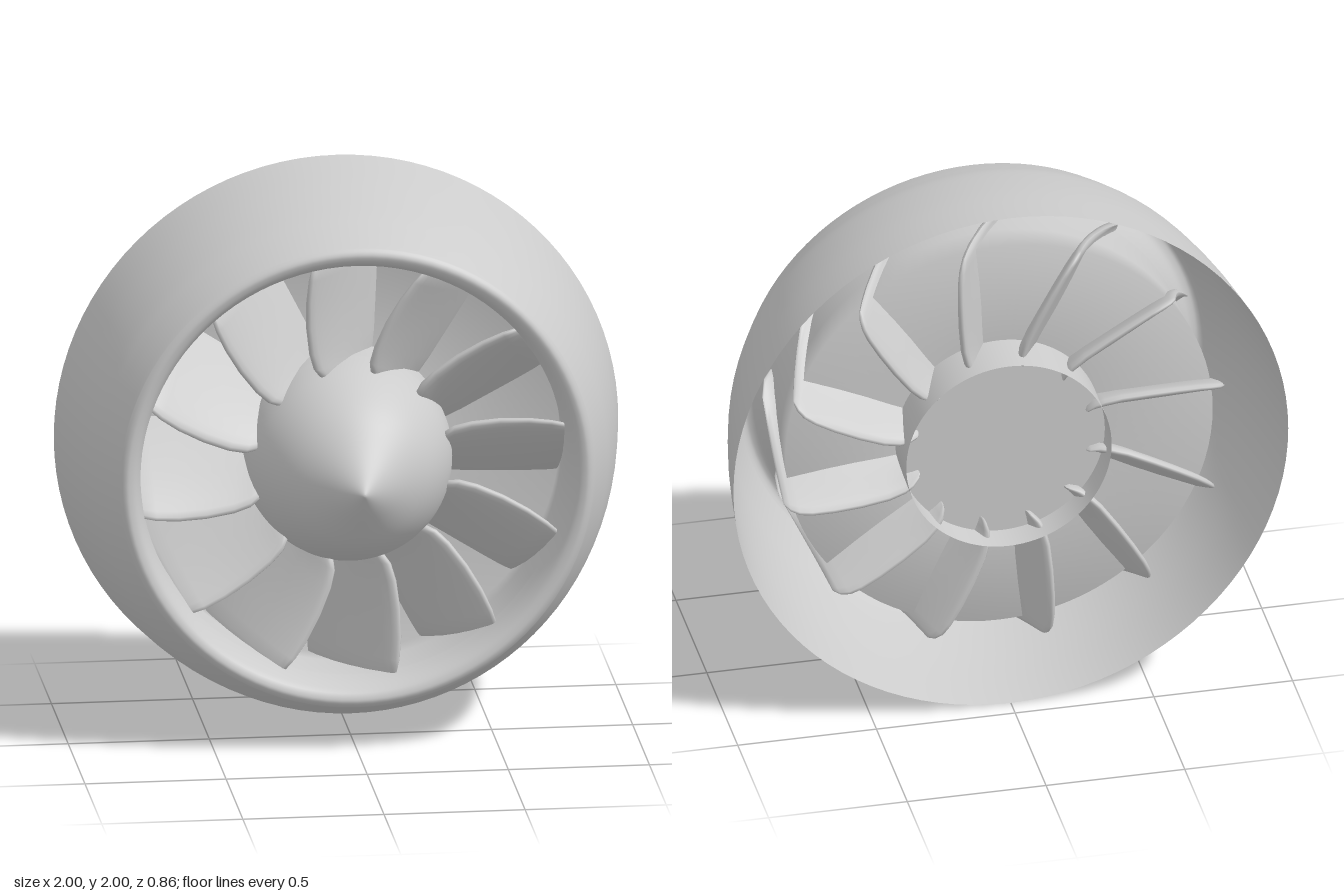
import * as THREE from 'three';

const BLADES = 12;
const CAMBER = 0.022;
const metal = new THREE.MeshStandardMaterial({ color: 0xcccccc });
const shell = new THREE.MeshStandardMaterial({ color: 0xcccccc, side: THREE.DoubleSide });

// Surface of revolution about the z axis from [radius, z] pairs
function revolve(name, points, segments = 96) {
  const geometry = new THREE.LatheGeometry(points.map(([r, z]) => new THREE.Vector2(r, z)), segments);
  geometry.rotateX(Math.PI / 2);
  const mesh = new THREE.Mesh(geometry, shell);
  mesh.name = name;
  return mesh;
}

// Smooth curve through [radius, z] pairs
function smooth(points, n) {
  const curve = new THREE.SplineCurve(points.map(([r, z]) => new THREE.Vector2(r, z)));
  return curve.getPoints(n).map(p => [p.x, p.y]);
}

// Pitched, cambered blade along +y, lofted through rounded flat sections
function bladeGeometry() {
  // radius, leading x and z, trailing x and z, half thickness
  const rows = [
    [0.30, -0.06, 0.00, 0.09, -0.31, 0],
    [0.305, -0.07, 0.02, 0.10, -0.32, 0.014],
    [0.33, -0.11, 0.055, 0.125, -0.335, 0.022],
    [0.36, -0.132, 0.068, 0.14, -0.345, 0.024],
    [0.42, -0.15, 0.08, 0.155, -0.355, 0.024],
    [0.52, -0.163, 0.095, 0.165, -0.365, 0.024],
    [0.62, -0.165, 0.11, 0.17, -0.37, 0.023],
    [0.70, -0.158, 0.12, 0.17, -0.37, 0.021],
    [0.745, -0.148, 0.12, 0.165, -0.365, 0.019],
    [0.775, -0.13, 0.09, 0.155, -0.35, 0.016],
    [0.79, -0.11, 0.04, 0.145, -0.33, 0.010],
    [0.795, -0.10, 0.02, 0.14, -0.32, 0],
  ];
  const N = 24, position = [], index = [];
  rows.forEach(([r, lx, lz, tx, tz, h], i) => {
    const dx = lx - tx, dz = lz - tz, len = Math.hypot(dx, dz);
    for (let j = 0; j < N; j++) {
      const a = (j / N) * Math.PI * 2;
      const c = Math.cos(a), s = Math.sin(a);
      const along = Math.sign(c) * Math.pow(Math.abs(c), 0.7) / 2;
      const off = Math.sign(s) * Math.pow(Math.abs(s), 0.6) * h + CAMBER * (1 - 4 * along * along);
      position.push(
        (lx + tx) / 2 + dx * along + (dz / len) * off,
        r,
        (lz + tz) / 2 + dz * along - (dx / len) * off);
      if (i < rows.length - 1) {
        const p = i * N + j, q = i * N + (j + 1) % N;
        index.push(p, q, p + N, q, q + N, p + N);
      }
    }
  });
  const geometry = new THREE.BufferGeometry();
  geometry.setAttribute('position', new THREE.Float32BufferAttribute(position, 3));
  geometry.setIndex(index);
  geometry.computeVertexNormals();
  return geometry;
}

export function createModel() {
  const model = new THREE.Group();
  model.name = 'ductedFan';
  const fan = new THREE.Group();
  fan.name = 'fanAssembly';
  fan.position.y = 1;
  model.add(fan);

  // Flared skin rolling over the lip into the duct, closed by a wall around the hub
  fan.add(revolve('cowl', [
    ...smooth([[1, -0.43], [0.967, -0.2], [0.923, 0], [0.887, 0.1], [0.85, 0.185]], 24),
    ...smooth([[0.842, 0.202], [0.828, 0.214], [0.81, 0.217], [0.783, 0.2], [0.763, 0.15], [0.754, 0.08]], 20),
    [0.755, 0], [0.762, -0.12], [0.77, -0.24], [0.37, -0.22],
  ]));

  // Pointed nose cone running into an open-backed hub
  fan.add(revolve('hub', [
    [0.37, -0.4], [0.37, -0.2],
    ...smooth([[0.37, -0.08], [0.345, 0.06], [0.255, 0.22], [0.12, 0.345], [0.02, 0.42], [0, 0.43]], 24),
  ]));
  fan.add(revolve('hubBackPlate', [[0, -0.29], [0.37, -0.29]]));

  // Ring of pitched blades
  const geometry = bladeGeometry();
  const blades = new THREE.Group();
  blades.name = 'blades';
  for (let i = 0; i < BLADES; i++) {
    const blade = new THREE.Mesh(geometry, metal);
    blade.name = 'blade' + (i + 1);
    blade.rotation.z = (i / BLADES) * Math.PI * 2;
    blades.add(blade);
  }
  fan.add(blades);
  return model;
}
